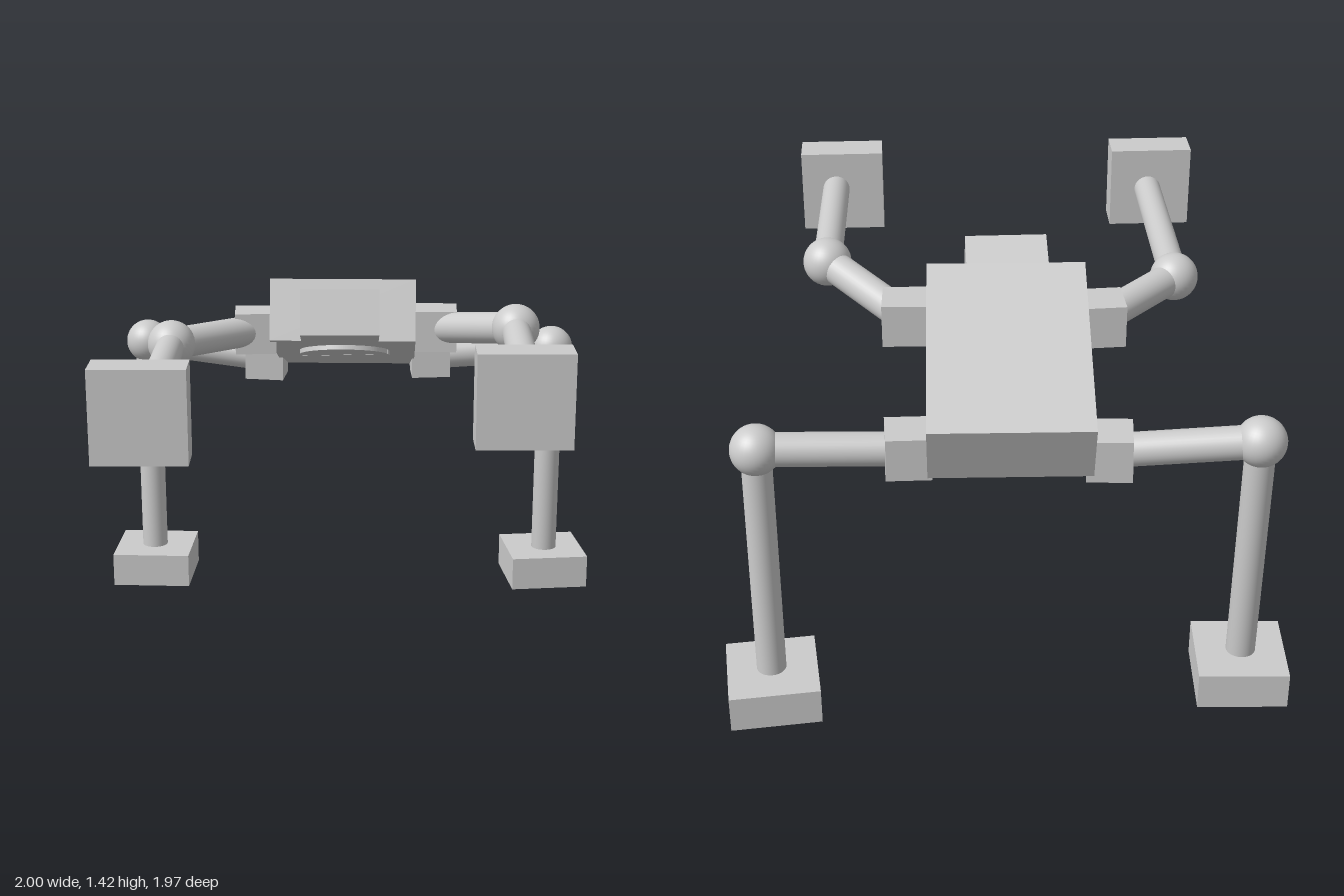
import * as THREE from 'three';

const material = new THREE.MeshStandardMaterial({ color: 0xcccccc });
const V = (p) => new THREE.Vector3(...p);

export function createModel() {
  const root = new THREE.Group();

  function add(parent, name, geometry, position = [0, 0, 0], rotation = [0, 0, 0]) {
    const mesh = new THREE.Mesh(geometry, material);
    mesh.name = name;
    mesh.position.set(...position);
    mesh.rotation.set(...rotation);
    parent.add(mesh);
    return mesh;
  }
  const box = (parent, name, size, position, rotation) =>
    add(parent, name, new THREE.BoxGeometry(...size), position, rotation);

  // Round rod between two points
  function rod(parent, name, from, to, radius) {
    const a = V(from), b = V(to), d = b.clone().sub(a);
    const mesh = add(parent, name, new THREE.CylinderGeometry(radius, radius, d.length(), 32));
    mesh.position.copy(a).lerp(b, 0.5);
    mesh.quaternion.setFromUnitVectors(new THREE.Vector3(0, 1, 0), d.normalize());
  }

  // Torso, nose-up, with the head in front and a split disc underneath
  const pitch = -0.356;
  const torso = new THREE.Group();
  torso.name = 'torso';
  torso.position.set(-0.02, 1.17, -0.54);
  torso.rotation.set(pitch, -0.028, 0, 'YXZ');
  root.add(torso);
  box(torso, 'body', [0.55, 0.235, 0.75], [0, 0, 0]);
  box(root, 'head', [0.29, 0.17, 0.25], [-0.04, 1.293, -0.103], [pitch, 0, 0]);

  const half = new THREE.Shape();
  half.absarc(0, 0, 0.175, 0, Math.PI);
  half.closePath();
  const halfDisc = new THREE.ExtrudeGeometry(half, { depth: 0.03, bevelEnabled: false, curveSegments: 32 });
  const disc = new THREE.Group();
  disc.name = 'bellyDisc';
  disc.position.set(0, -0.105, 0.075);
  disc.rotation.set(Math.PI / 2, 0, 0.25);
  torso.add(disc);
  for (const s of [1, -1]) {
    add(disc, 'halfDisc', halfDisc, [0, 0.003 * s, 0], [0, 0, s > 0 ? 0 : Math.PI]);
  }

  // Limbs: socket block, upper rod, ball joint, lower rod, end block
  const limbs = [
    { name: 'leftArm', socket: [0.325, 1.22, -0.247], turn: [0, -0.04, 0], joint: [0.6, 1.29, 0.063],
      tip: [0.585, 1.256, 0.83], end: [0.56, 1.245, 0.86], size: [0.317, 0.317, 0.135], endTurn: 0 },
    { name: 'rightArm', socket: [-0.362, 1.207, -0.267], turn: [0, 0.05, 0], joint: [-0.657, 1.22, 0.02],
      tip: [-0.665, 1.205, 0.89], end: [-0.675, 1.21, 0.918], size: [0.317, 0.317, 0.135], endTurn: 0 },
    { name: 'leftLeg', socket: [0.325, 0.99, -0.752], turn: [0, 0.03, 0.02], joint: [0.826, 1.016, -0.775],
      tip: [0.826, 0.1, -0.802], end: [0.823, 0.068, -0.807], size: [0.317, 0.135, 0.317], endTurn: 0.105 },
    { name: 'rightLeg', socket: [-0.345, 0.975, -0.775], turn: [0, -0.1, -0.02], joint: [-0.84, 1.03, -0.832],
      tip: [-0.835, 0.1, -0.8], end: [-0.832, 0.081, -0.803], size: [0.317, 0.135, 0.317], endTurn: -0.05 },
  ];
  for (const l of limbs) {
    const limb = new THREE.Group();
    limb.name = l.name;
    root.add(limb);
    const arm = l.name.endsWith('Arm');
    box(limb, arm ? 'shoulder' : 'hip', [0.155, 0.155, 0.155], l.socket, l.turn);
    rod(limb, arm ? 'upperArm' : 'thigh', l.socket, l.joint, 0.058);
    add(limb, arm ? 'elbow' : 'knee', new THREE.SphereGeometry(0.087, 32, 24), l.joint);
    rod(limb, arm ? 'forearm' : 'shin', l.joint, l.tip, 0.052);
    box(limb, arm ? 'hand' : 'foot', l.size, l.end, [0, l.endTurn, 0]);
  }
  return root;
}
